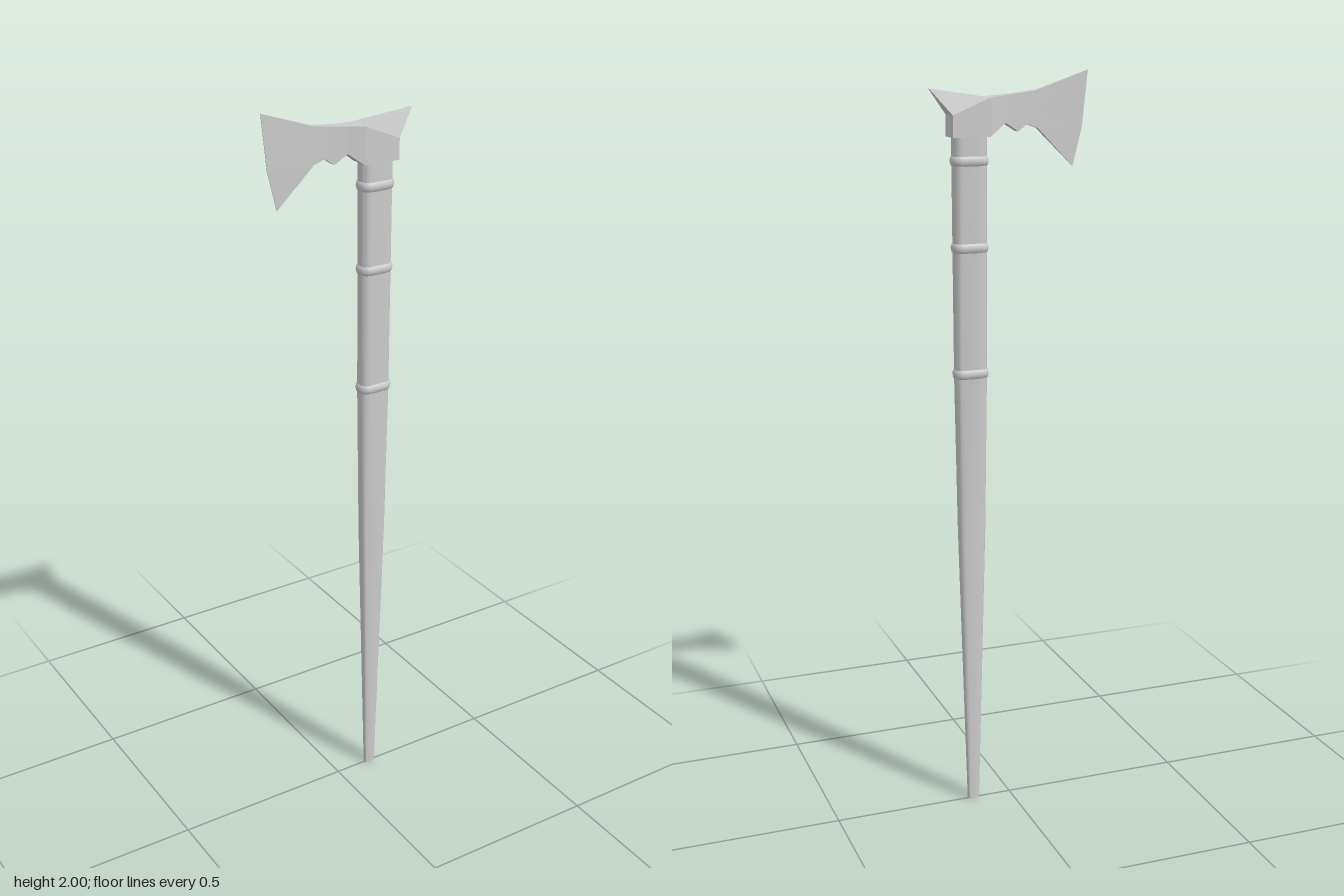
import * as THREE from 'three';
import { toCreasedNormals } from 'three/addons/utils/BufferGeometryUtils.js';

const HANDLE_X = 0.108;

// Skin a list of closed cross-sections, each an even loop of Vector3, and cap both ends
function loft(sections) {
  const n = sections[0].length, verts = [];
  const tri = (...pts) => pts.forEach(p => verts.push(p.x, p.y, p.z));
  for (let s = 0; s < sections.length - 1; s++) {
    for (let i = 0; i < n; i++) {
      const j = (i + 1) % n;
      const a = sections[s][i], b = sections[s][j], c = sections[s + 1][j], d = sections[s + 1][i];
      // Mirrored diagonals keep the two halves symmetrical
      if (i < n / 2) { tri(a, b, c); tri(a, c, d); } else { tri(a, b, d); tri(b, c, d); }
    }
  }
  const first = sections[0], last = sections[sections.length - 1];
  for (let i = 0; i < n / 2 - 1; i++) {
    const q = [i, i + 1, n - 2 - i, n - 1 - i];
    const [a, b, c, d] = q.map(k => last[k]);
    tri(a, b, c); tri(a, c, d);
    const [e, f, g, h] = q.map(k => first[k]);
    tri(e, g, f); tri(e, h, g);
  }
  const geo = new THREE.BufferGeometry();
  geo.setAttribute('position', new THREE.Float32BufferAttribute(verts, 3));
  geo.computeVertexNormals();
  return geo;
}

// Rounded rectangular loop around the handle axis
function roundedLoop(hx, hz, y, steps = 4) {
  const r = hz * 0.8, pts = [];
  for (let q = 0; q < 4; q++) {
    const sx = q < 2 ? 1 : -1, sz = q === 0 || q === 3 ? 1 : -1;
    for (let k = 0; k <= steps; k++) {
      const t = (q + k / steps) * Math.PI / 2;
      pts.push(new THREE.Vector3(
        HANDLE_X + sx * (hx - r) + r * Math.sin(t), y, sz * (hz - r) + r * Math.cos(t)));
    }
  }
  return pts;
}

export function createModel() {
  const group = new THREE.Group();
  const smooth = new THREE.MeshStandardMaterial({ color: 0xcccccc });
  const faceted = new THREE.MeshStandardMaterial({ color: 0xcccccc, flatShading: true });
  const add = (name, geo, mat) => {
    const mesh = new THREE.Mesh(geo, mat);
    mesh.name = name;
    group.add(mesh);
  };

  // Tapered handle: y, half width, half depth
  const shaft = [[0, 0.016, 0.008], [0.8, 0.037, 0.019], [1.22, 0.043, 0.023], [1.86, 0.045, 0.025]];
  add('handle', toCreasedNormals(loft(shaft.map(([y, hx, hz]) => roundedLoop(hx, hz, y))), 0.7), smooth);

  // Bands wrapped around the handle
  for (const [y, hx, hz] of [[1.23, 0.043, 0.023], [1.56, 0.044, 0.024], [1.78, 0.045, 0.025]]) {
    const path = new THREE.CatmullRomCurve3(roundedLoop(hx - 0.004, hz - 0.004, y, 3), true);
    const band = new THREE.TubeGeometry(path, 48, 0.009, 8, true);
    // Taller than thick
    band.translate(0, -y, 0).scale(1, 1.6, 1).translate(0, y, 0);
    add('handleBand', band, smooth);
  }

  // Axe head sections from cutting edge to rear spike: top, middle, bottom as [x, y, half thickness]
  const straight = (x, top, bottom, t) => [[x, top, t], [x, (top + bottom) / 2, t], [x, bottom, t]];
  const sections = [
    [[-0.215, 2, 0.001], [-0.2, 1.857, 0.001], [-0.175, 1.757, 0.001]],
    straight(-0.075, 1.952, 1.857, 0.009),
    straight(-0.045, 1.948, 1.868, 0.011),
    straight(-0.02, 1.945, 1.85, 0.014),
    straight(0.016, 1.941, 1.873, 0.019),
    [[0.06, 1.937, 0.03], [0.06, 1.895, 0.03], [0.06, 1.84, 0.03]],
    [[0.213, 1.96, 0.003], [0.16, 1.895, 0.03], [0.16, 1.84, 0.03]],
  ];
  const head = loft(sections.map(s => [
    ...s.map(([x, y, z]) => new THREE.Vector3(x, y, z)),
    ...s.map(([x, y, z]) => new THREE.Vector3(x, y, -z)).reverse(),
  ]));
  add('axeHead', head, faceted);

  return group;
}
